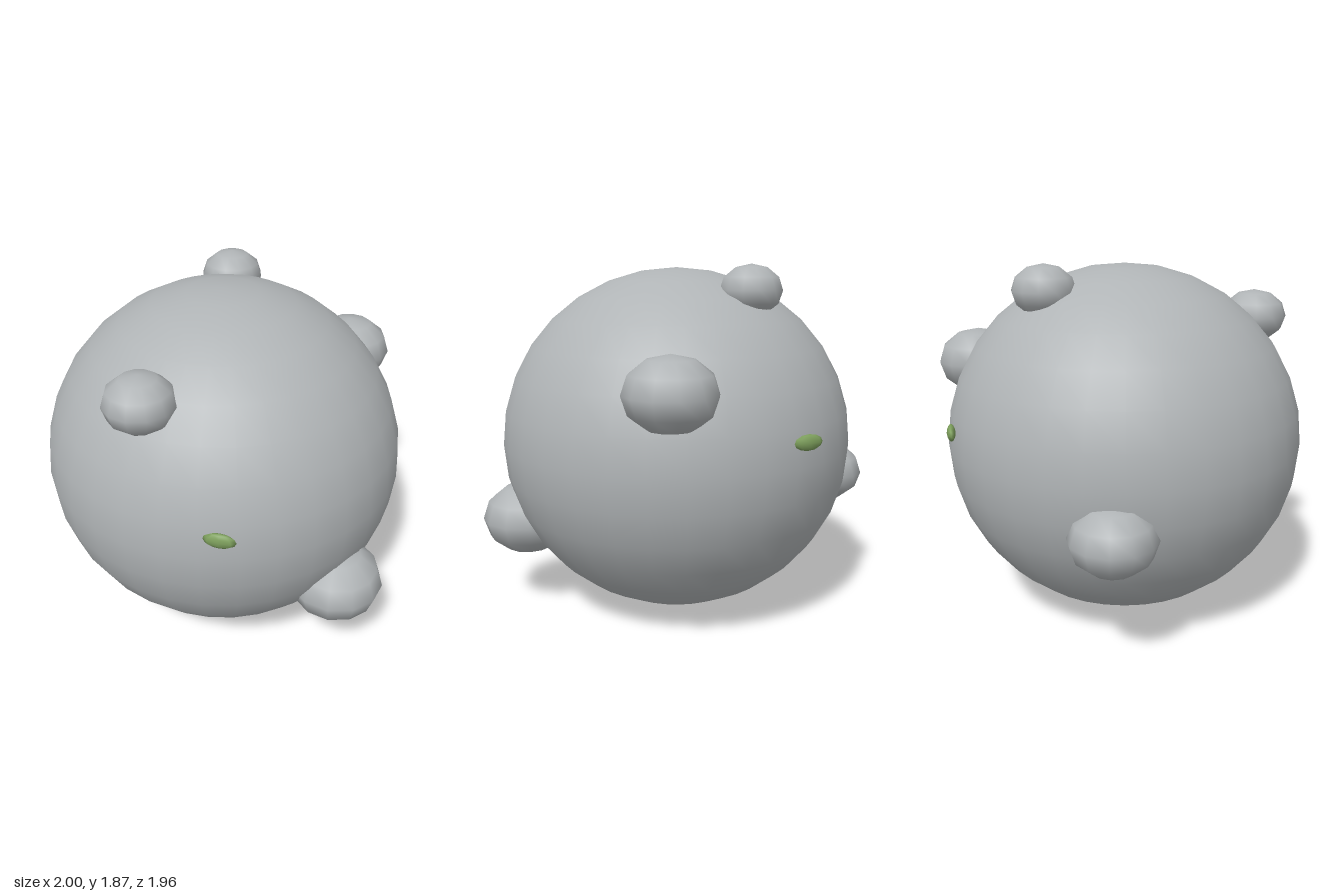
import * as THREE from 'three';

export function createModel() {
  const model = new THREE.Group();
  const stone = new THREE.MeshStandardMaterial({ color: 0xb0b4b6 });
  stone.name = 'grey stone';
  const moss = new THREE.MeshStandardMaterial({ color: 0x7d9f5c });
  moss.name = 'moss green';

  // Scaled sphere placed at a position
  function ellipsoid(name, material, segments, rings, radii, position, turn = 0) {
    const mesh = new THREE.Mesh(new THREE.SphereGeometry(1, segments, rings), material);
    mesh.name = name;
    mesh.scale.set(...radii);
    mesh.position.set(...position);
    mesh.rotation.y = turn;
    model.add(mesh);
    return mesh;
  }

  // Main body, slightly squashed
  ellipsoid('body', stone, 32, 16, [0.95, 0.928, 0.95], [-0.05, 0.93, -0.004]);

  // Rounded bumps half sunk in the surface: radius, x, y, z
  const bumps = [
    ['frontBump', 0.246, 0.345, 0.5, 0.73],
    ['upperFrontBump', 0.175, -0.57, 1.57, 0.485],
    ['topBump', 0.163, 0.123, 1.743, -0.46],
    ['leftBump', 0.227, 0.768, 1.3, -0.262],
    ['backBump', 0.215, -0.495, 0.69, -0.77],
  ];
  for (const [name, r, x, y, z] of bumps) {
    ellipsoid(name, stone, 12, 6, [r, r * 0.8, r], [x, y, z]);
  }

  // Small leaf-like moss tufts, one end buried
  ellipsoid('frontMoss', moss, 8, 6, [0.08, 0.04, 0.022], [-0.32, 1.055, 0.905], -0.52);
  ellipsoid('backMoss', moss, 8, 6, [0.08, 0.04, 0.022], [0.44, 1.055, -0.828], -0.77);

  return model;
}
